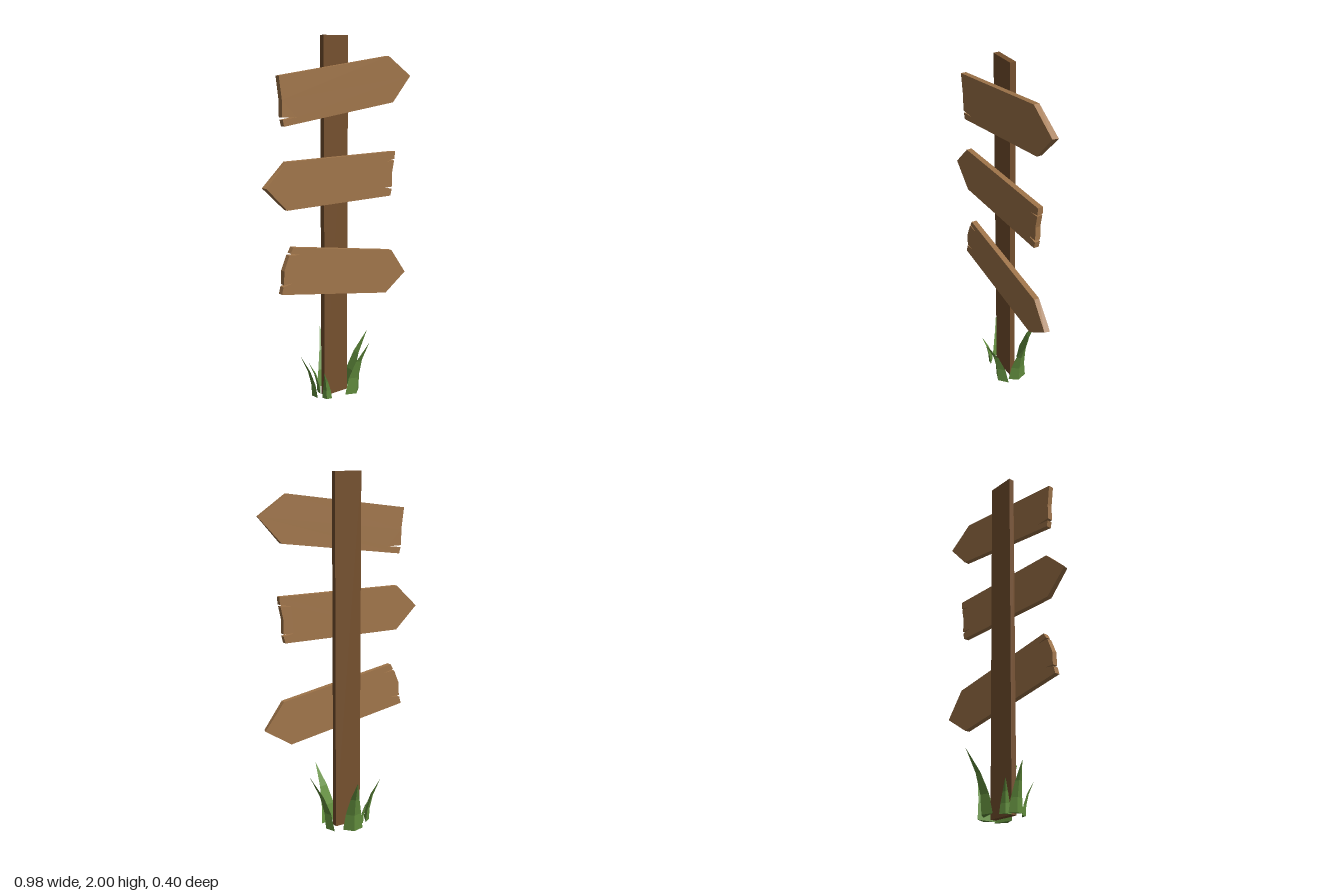
import * as THREE from 'three';

const paint = (color) => new THREE.MeshStandardMaterial({ color, flatShading: true, side: THREE.DoubleSide });

function addMesh(parent, name, geometry, material) {
  const mesh = new THREE.Mesh(geometry, material);
  mesh.name = name;
  parent.add(mesh);
  return mesh;
}

// Arrow board: outline extruded, with the pointed end slightly longer at the back
function boardGeometry(outline, tipX) {
  const shape = new THREE.Shape(outline.map(([x, y]) => new THREE.Vector2(x, y)));
  const geometry = new THREE.ExtrudeGeometry(shape, { depth: 0.03, bevelEnabled: false });
  const p = geometry.attributes.position;
  for (let i = 0; i < p.count; i++) {
    if (p.getZ(i) < 0.01 && Math.abs(p.getX(i) - tipX) < 0.001) p.setX(i, tipX + Math.sign(tipX) * 0.008);
  }
  geometry.translate(0, 0, 0.025);
  geometry.computeVertexNormals();
  return geometry;
}

// Grass blade: a ridged triangular section that narrows and curves out to the tip
function bladeGeometry([ax, az], [bx, bz], [tx, tz], height, depth) {
  const cx = (ax + bx) / 2, cz = (az + bz) / 2;
  const dx = tx - cx, dz = tz - cz;
  // ridge points across the base line, to the side of the tip
  let nx = -(bz - az), nz = bx - ax;
  const s = (nx * dx + nz * dz < 0 ? -1 : 1) * depth / Math.hypot(nx, nz);
  nx *= s;
  nz *= s;
  const corners = [[ax - cx, az - cz], [nx, nz], [bx - cx, bz - cz]];
  const levels = [[0, 0, 1], [0.3, 0.12, 0.78], [0.62, 0.42, 0.45], [1, 1, 0]];
  const position = [], index = [];
  for (const [h, lean, width] of levels) {
    for (const [x, z] of corners) position.push(cx + dx * lean + x * width, h * height, cz + dz * lean + z * width);
  }
  for (let l = 0; l < levels.length - 1; l++) {
    for (let k = 0; k < 3; k++) {
      const a = l * 3 + k, b = l * 3 + (k + 1) % 3;
      index.push(a, a + 3, b);
      if (l < levels.length - 2) index.push(b, a + 3, b + 3);
    }
  }
  index.push(0, 1, 2);
  // keep faces outward for either corner order
  const turn = corners[0][0] * corners[1][1] - corners[0][1] * corners[1][0];
  if (turn < 0) for (let i = 0; i < index.length; i += 3) [index[i], index[i + 1]] = [index[i + 1], index[i]];
  const geometry = new THREE.BufferGeometry();
  geometry.setAttribute('position', new THREE.Float32BufferAttribute(position, 3));
  geometry.setIndex(index);
  const flat = geometry.toNonIndexed();
  flat.computeVertexNormals();
  return flat;
}

export function createModel() {
  const model = new THREE.Group();
  model.name = 'signpost';
  const darkWood = paint(0x75502e), lightWood = paint(0xa0754a), green = paint(0x64903f);

  // Post
  addMesh(model, 'post', new THREE.BoxGeometry(0.16, 2, 0.032), darkWood).position.set(-0.021, 1, 0.009);

  // Boards, with split and worn ends
  const boards = {
    topBoard: [0.48, [[-0.4, 1.8], [0.32, 1.89], [0.48, 1.78], [0.355, 1.638], [-0.372, 1.546], [-0.38, 1.58],
      [-0.295, 1.59], [-0.384, 1.592], [-0.384, 1.68]]],
    middleBoard: [-0.485, [[-0.485, 1.24], [-0.36, 1.365], [0.375, 1.363], [0.373, 1.321], [0.31, 1.309],
      [0.37, 1.312], [0.355, 1.24], [0.357, 1.163], [0.295, 1.161], [0.355, 1.15], [0.345, 1.112], [-0.36, 1.112]]],
    bottomBoard: [0.466, [[-0.325, 0.91], [0.36, 0.79], [0.466, 0.642], [0.32, 0.54], [-0.4, 0.665], [-0.39, 0.705],
      [-0.33, 0.716], [-0.386, 0.715], [-0.384, 0.79], [-0.35, 0.87], [-0.28, 0.864], [-0.342, 0.88]]],
  };
  for (const [name, [tipX, outline]] of Object.entries(boards)) {
    addMesh(model, name, boardGeometry(outline, tipX), lightWood);
  }

  // Grass around the foot: base corners, tip, height, ridge depth
  const grass = new THREE.Group();
  grass.name = 'grass';
  model.add(grass);
  const blades = [
    [[0, 0.085], [0.112, 0.065], [0.08, 0.198], 0.33, 0.035],
    [[-0.065, -0.098], [0.045, -0.065], [0.028, -0.2], 0.33, 0.035],
    [[0.097, -0.06], [0.087, 0.05], [0.213, 0.017], 0.325, 0.03],
    [[-0.12, -0.045], [-0.15, 0.025], [-0.22, -0.04], 0.245, 0.024],
    [[-0.068, -0.06], [-0.105, -0.012], [-0.136, -0.077], 0.17, 0.018],
    [[-0.087, 0.075], [-0.128, 0.038], [-0.157, 0.096], 0.175, 0.018],
  ];
  blades.forEach((b, i) => addMesh(grass, `grassBlade${i + 1}`, bladeGeometry(...b), green));

  return model;
}
